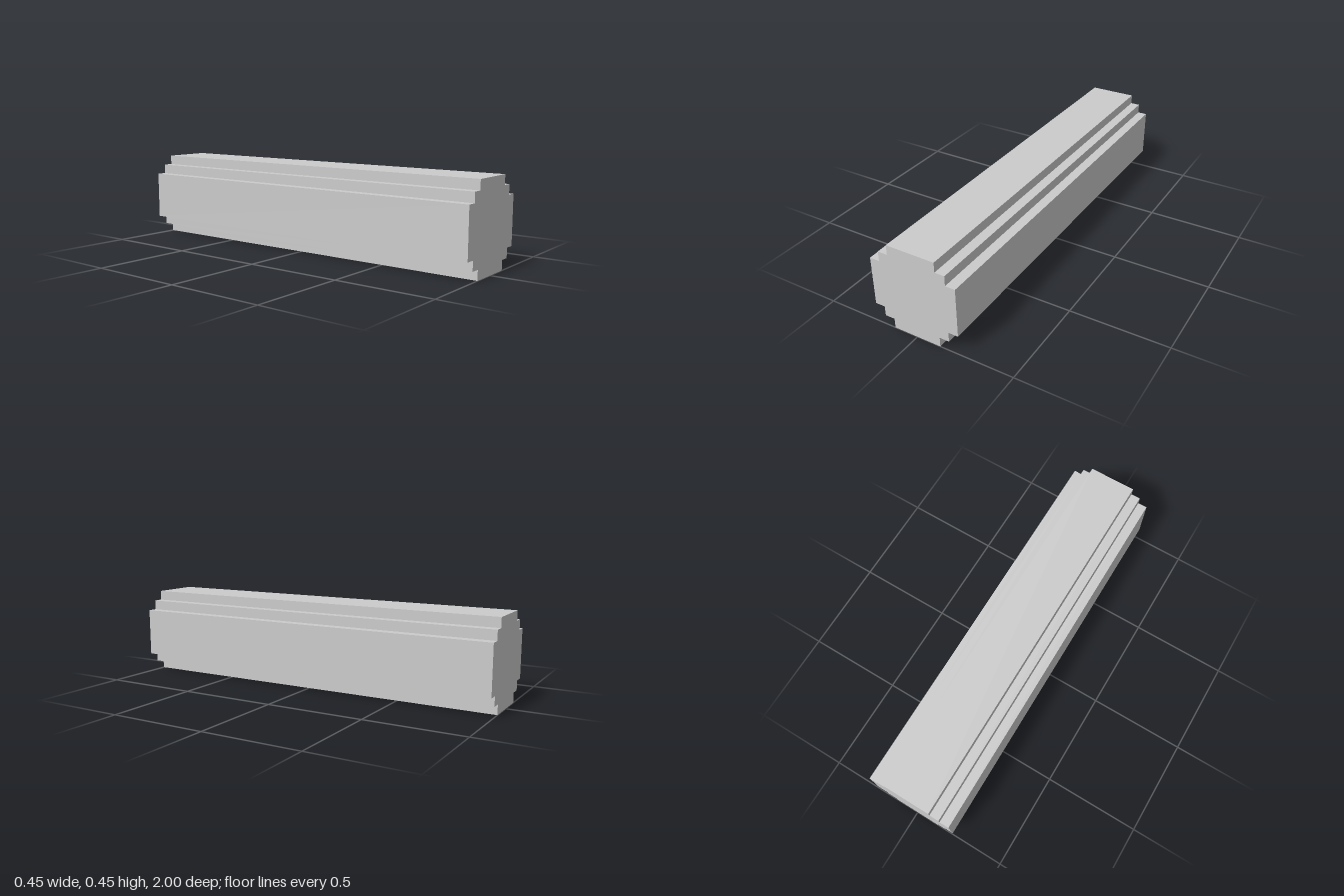
import * as THREE from 'three';

const LENGTH = 2;
const CENTRE_Y = 0.225;

// Stepped corner of the cross-section, from the right side up to the top
const CORNER = [
  [0.225, 0.125], [0.175, 0.125], [0.175, 0.175], [0.125, 0.175], [0.125, 0.225],
];

// Turn the corner through four quarter turns to close the outline
function steppedOutline() {
  const points = [];
  for (let i = 0; i < 4; i++) {
    for (const [x, y] of CORNER) {
      const p = new THREE.Vector2(x, y);
      for (let k = 0; k < i; k++) p.set(-p.y, p.x);
      points.push(p);
    }
    // The last point of each corner is followed by the next corner's first point
  }
  return new THREE.Shape(points);
}

export function createModel() {
  const group = new THREE.Group();
  group.name = 'steppedBeam';

  // Solid beam running front to back
  const geometry = new THREE.ExtrudeGeometry(steppedOutline(), {
    depth: LENGTH, bevelEnabled: false,
  });
  geometry.translate(0, CENTRE_Y, -LENGTH / 2);

  const material = new THREE.MeshStandardMaterial({ color: 0xcccccc, flatShading: true });
  const beam = new THREE.Mesh(geometry, material);
  beam.name = 'beam';
  group.add(beam);
  return group;
}
